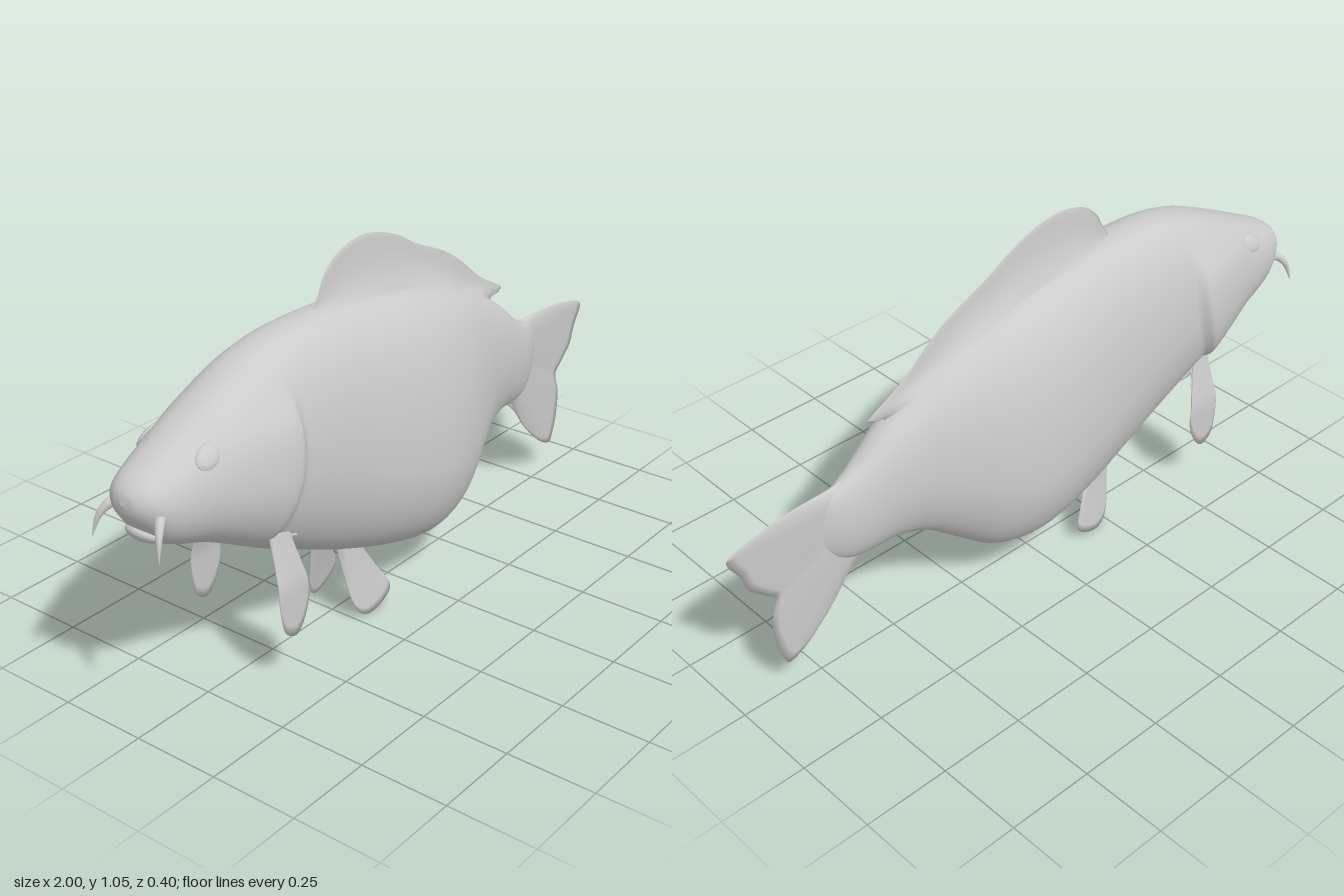
import * as THREE from 'three';

const smooth = THREE.MathUtils.smoothstep;
const grey = new THREE.MeshStandardMaterial({ color: 0xcccccc, roughness: 0.7 });
const thin = new THREE.MeshStandardMaterial({ color: 0xcccccc, roughness: 0.7, side: THREE.DoubleSide });

// Surface from a grid of points; wrap joins the last column to the first
function grid(nu, nv, wrap, point) {
  const pos = [], index = [], cols = wrap ? nv : nv + 1;
  for (let i = 0; i <= nu; i++)
    for (let j = 0; j < cols; j++) pos.push(...point(i / nu, j / nv));
  for (let i = 0; i < nu; i++)
    for (let j = 0; j < nv; j++) {
      const a = i * cols + j, b = i * cols + (j + 1) % cols;
      index.push(a, a + cols, b, b, a + cols, b + cols);
    }
  const g = new THREE.BufferGeometry();
  g.setAttribute('position', new THREE.Float32BufferAttribute(pos, 3));
  g.setIndex(index);
  g.computeVertexNormals();
  return g;
}

function add(group, name, geometry, material = grey) {
  const mesh = new THREE.Mesh(geometry, material);
  mesh.name = name;
  group.add(mesh);
  return mesh;
}

// Body stations from snout to tail root: x, top, bottom, half width, height of widest point (0..1)
const stations = [
  [-0.998, 0.655, 0.645, 0.004, 0.5], [-0.99, 0.68, 0.615, 0.04, 0.5], [-0.965, 0.705, 0.58, 0.073, 0.5],
  [-0.92, 0.73, 0.525, 0.098, 0.5], [-0.86, 0.76, 0.495, 0.115, 0.48], [-0.79, 0.795, 0.47, 0.128, 0.46],
  [-0.7, 0.838, 0.425, 0.144, 0.45], [-0.6, 0.88, 0.368, 0.156, 0.45], [-0.5, 0.905, 0.317, 0.16, 0.45],
  [-0.4, 0.914, 0.27, 0.166, 0.44], [-0.27, 0.912, 0.213, 0.176, 0.41], [-0.13, 0.9, 0.163, 0.192, 0.38],
  [0, 0.882, 0.127, 0.2, 0.37], [0.1, 0.858, 0.12, 0.194, 0.37], [0.2, 0.828, 0.145, 0.172, 0.39],
  [0.3, 0.79, 0.22, 0.138, 0.42], [0.4, 0.74, 0.295, 0.104, 0.45], [0.5, 0.68, 0.327, 0.081, 0.48],
  [0.59, 0.608, 0.325, 0.06, 0.5], [0.65, 0.573, 0.335, 0.042, 0.5], [0.7, 0.55, 0.375, 0.021, 0.5],
  [0.73, 0.5, 0.43, 0.004, 0.5]];
const outline = new THREE.CatmullRomCurve3(
  stations.map(s => new THREE.Vector3(s[0], s[1], s[2])), false, 'catmullrom', 0.5);
const girth = new THREE.CatmullRomCurve3(
  stations.map(s => new THREE.Vector3(s[3], s[4], 0)), false, 'catmullrom', 0.5);

function bodyPoint(u, v) {
  const { x, y: top, z: bottom } = outline.getPoint(u), { x: w, y: c } = girth.getPoint(u);
  const a = v * Math.PI * 2, mid = bottom + c * (top - bottom);
  const y = mid + Math.sin(a) * (a < Math.PI ? top - mid : mid - bottom);
  let z = w * Math.sign(Math.cos(a)) * Math.abs(Math.cos(a)) ** 0.85;
  // gill cover: swells toward its curved rear edge, then steps down
  const edge = -0.535 - Math.max(0, 0.72 - y) ** 2;
  const swell = smooth(x, -0.88, edge - 0.03) * (1 - smooth(x, edge - 0.015, edge + 0.015));
  z *= 1 + 0.15 * swell * (1 - smooth(y, 0.72, 0.84));
  return [x, y, z];
}

// Fin lofted from a base line to a rim, fat at the base and closed along the rim
function finGeometry(base, rim, flare, thickness, side = 1, offset = () => 0) {
  const toCurve = pts => new THREE.SplineCurve(pts.map(p => new THREE.Vector2(...p)));
  const b = toCurve(base), r = toCurve(rim);
  return grid(90, 24, false, (u, k) => {
    const v = 1 - Math.abs(2 * k - 1), face = k < 0.5 ? 1 : -1;
    const p = b.getPoint(u).lerp(r.getPoint(u), v);
    const end = Math.min(1, 1.4 * Math.sqrt(Math.max(0, Math.sin(Math.PI * u))));
    const half = end * (flare * (1 - v) ** 2.5 + thickness * Math.sqrt(1 - v));
    return [p.x, p.y, side * (offset(p.x, p.y) + face * half)];
  });
}

// Tube that narrows to a point
function taperedTube(points, radius) {
  const n = 24, m = 10, curve = new THREE.CatmullRomCurve3(points.map(p => new THREE.Vector3(...p)));
  const g = new THREE.TubeGeometry(curve, n, radius, m), p = g.attributes.position, v = new THREE.Vector3();
  for (let i = 0; i < p.count; i++) {
    const t = Math.floor(i / (m + 1)) / n;
    v.fromBufferAttribute(p, i).lerp(curve.getPointAt(t), t ** 1.3 * 0.97);
    p.setXYZ(i, v.x, v.y, v.z);
  }
  g.computeVertexNormals();
  return g;
}

export function createModel() {
  const fish = new THREE.Group();
  fish.name = 'fish';

  add(fish, 'body', grid(210, 56, true, bodyPoint));

  // Lower lip
  const lip = add(fish, 'lowerLip', new THREE.SphereGeometry(1, 28, 18));
  lip.scale.set(0.036, 0.022, 0.052);
  lip.position.set(-0.935, 0.552, 0);
  lip.rotation.z = -0.5;

  add(fish, 'dorsalFin', finGeometry(
    [[-0.3, 0.9], [-0.13, 0.885], [0.05, 0.855], [0.2, 0.815], [0.35, 0.75], [0.49, 0.67]],
    [[-0.31, 0.913], [-0.285, 0.95], [-0.26, 0.995], [-0.21, 1.035], [-0.13, 1.055], [-0.05, 1.047],
      [0.04, 1.015], [0.13, 0.965], [0.25, 0.91], [0.33, 0.86], [0.43, 0.78], [0.535, 0.72],
      [0.53, 0.703], [0.49, 0.695], [0.505, 0.672]],
    0.034, 0.007), thin);

  add(fish, 'tailFin', finGeometry(
    [[0.62, 0.58], [0.63, 0.46], [0.59, 0.335]],
    [[0.64, 0.578], [0.7, 0.57], [0.8, 0.568], [0.9, 0.553], [0.985, 0.53], [0.995, 0.505], [0.965, 0.455],
      [0.945, 0.4], [0.9, 0.355], [0.868, 0.322], [0.885, 0.255], [0.882, 0.18], [0.862, 0.11],
      [0.84, 0.09], [0.78, 0.122], [0.7, 0.195], [0.64, 0.272], [0.58, 0.325]],
    0.012, 0.009), thin);

  for (const [side, label] of [[1, 'left'], [-1, 'right']]) {
    add(fish, label + 'PectoralFin', finGeometry(
      [[-0.62, 0.49], [-0.585, 0.49], [-0.55, 0.45]],
      [[-0.623, 0.44], [-0.63, 0.36], [-0.637, 0.27], [-0.625, 0.185], [-0.6, 0.155], [-0.57, 0.152],
        [-0.54, 0.19], [-0.522, 0.25], [-0.533, 0.32], [-0.55, 0.38], [-0.545, 0.405], [-0.525, 0.4]],
      0.008, 0.005, side, (x, y) => 0.155 - 0.25 * Math.max(0, y - 0.3) - 0.03 * Math.max(0, y - 0.15)), thin);

    add(fish, label + 'PelvicFin', finGeometry(
      [[-0.28, 0.25], [-0.24, 0.24], [-0.19, 0.21]],
      [[-0.278, 0.21], [-0.268, 0.13], [-0.255, 0.055], [-0.235, 0.018], [-0.2, 0.003], [-0.15, 0.018],
        [-0.115, 0.05], [-0.135, 0.095], [-0.18, 0.135], [-0.205, 0.165], [-0.19, 0.185]],
      0.012, 0.006, side, (x, y) => 0.094 - 0.17 * y + 0.15 * (x + 0.2)), thin);

    // Barbel at the corner of the mouth
    add(fish, label + 'Barbel', taperedTube([
      [-0.93, 0.61, side * 0.06], [-0.955, 0.617, side * 0.078],
      [-0.98, 0.59, side * 0.097], [-0.998, 0.53, side * 0.11]], 0.016));

    // Eye: low dome inside a slim rim
    const eye = new THREE.Group();
    eye.name = label + 'Eye';
    add(eye, 'eyeball', new THREE.SphereGeometry(1, 28, 18)).scale.set(0.036, 0.027, 0.01);
    add(eye, 'eyeRim', new THREE.TorusGeometry(0.036, 0.003, 8, 40)).scale.y = 0.75;
    eye.position.set(-0.808, 0.73, side * 0.098);
    eye.rotation.set(-side * 0.55, -side * 0.2, 0.5, 'YXZ');
    fish.add(eye);
  }
  return fish;
}
